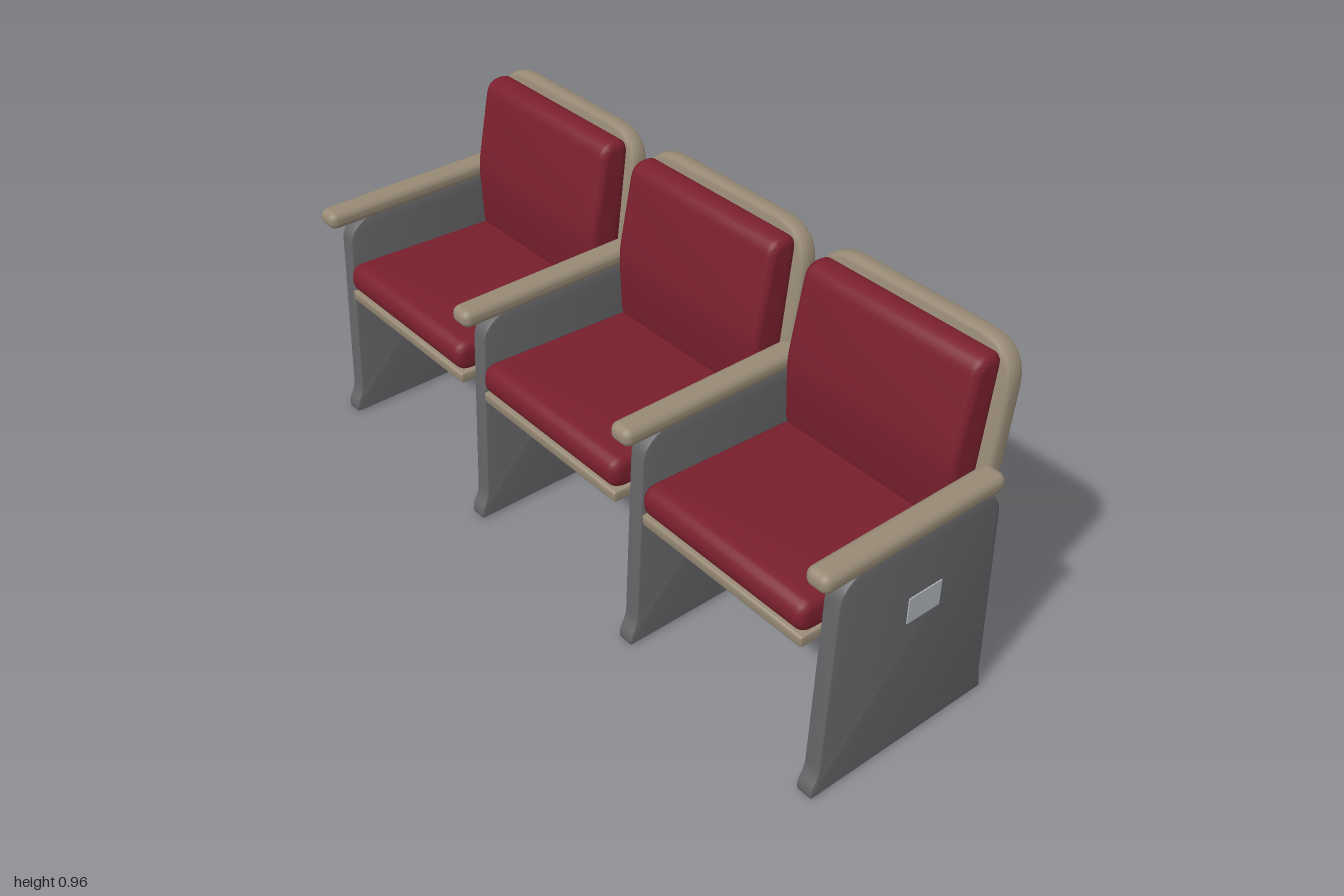
import * as THREE from 'three';
import { toCreasedNormals } from 'three/addons/utils/BufferGeometryUtils.js';
import { RoundedBoxGeometry } from 'three/addons/geometries/RoundedBoxGeometry.js';

const material = (name, color) => {
  const m = new THREE.MeshStandardMaterial({ color });
  m.name = name;
  return m;
};

// Closed outline from [x, y, cornerRadius] points
function roundedShape(points) {
  const shape = new THREE.Shape();
  const n = points.length;
  points.forEach(([x, y, r], i) => {
    const p = new THREE.Vector2(x, y);
    const toward = ([qx, qy]) => {
      const d = new THREE.Vector2(qx, qy).sub(p);
      return d.setLength(Math.min(r, d.length() * 0.49)).add(p);
    };
    const a = toward(points[(i + n - 1) % n]);
    const b = toward(points[(i + 1) % n]);
    if (i === 0) shape.moveTo(a.x, a.y);
    else shape.lineTo(a.x, a.y);
    if (r > 0) shape.quadraticCurveTo(x, y, b.x, b.y);
  });
  shape.closePath();
  return shape;
}

// Bevelled slab, centred on its thickness, that keeps the outline's size
function slab(points, thickness, bevel, bevelSegments = 3) {
  const geometry = new THREE.ExtrudeGeometry(roundedShape(points), {
    depth: thickness - 2 * bevel, bevelEnabled: true, bevelThickness: bevel,
    bevelSize: bevel, bevelOffset: -bevel, bevelSegments, curveSegments: 6,
  });
  geometry.translate(0, 0, bevel - thickness / 2);
  return toCreasedNormals(geometry, 0.7);
}

// Slab whose outline is a side profile of [z, y, radius] points, spanning x
const sideSlab = (points, width, bevel, segments) =>
  slab(points, width, bevel, segments).rotateY(-Math.PI / 2);

export function createModel() {
  const fabric = material('red fabric', 0x7a202d);
  const wood = material('tan wood', 0x978975);
  const metal = material('grey metal', 0x646467);
  const label = material('pale plate', 0xb0b5b8);

  const model = new THREE.Group();
  model.name = 'seatRow';
  const add = (parent, name, geometry, mat, x = 0, y = 0, z = 0) => {
    const mesh = new THREE.Mesh(geometry, mat);
    mesh.name = name;
    mesh.position.set(x, y, z);
    parent.add(mesh);
    return mesh;
  };

  // Shared part shapes
  const standard = sideSlab([
    [0.306, 0, 0.005], [0.306, 0.028, 0.015], [0.286, 0.062, 0.02], [0.266, 0.59, 0.03],
    [0.22, 0.63, 0.03], [-0.195, 0.63, 0.03], [-0.235, 0.59, 0.03],
    [-0.255, 0.06, 0.01], [-0.265, 0, 0.005],
  ], 0.05, 0.007, 2);
  const armrest = new RoundedBoxGeometry(0.07, 0.05, 0.562, 3, 0.022);
  const backPanel = slab([
    [-0.3, 0, 0.012], [0.3, 0, 0.012], [0.3, 0.9, 0.11], [-0.3, 0.9, 0.11],
  ], 0.05, 0.014);
  const backCushion = sideSlab([
    [-0.155, 0.49, 0.03], [-0.225, 0.49, 0.02], [-0.278, 0.94, 0.045],
    [-0.194, 0.94, 0.04], [-0.145, 0.69, 0.04],
  ], 0.54, 0.022, 4);
  const seatCushion = sideSlab([
    [0.3, 0.436, 0.045], [0.3, 0.524, 0.045], [-0.18, 0.505, 0.03], [-0.18, 0.415, 0.03],
  ], 0.54, 0.025, 4);
  const seatPan = sideSlab([
    [0.295, 0.406, 0.008], [0.295, 0.437, 0.008], [-0.195, 0.417, 0.008], [-0.195, 0.385, 0.008],
  ], 0.54, 0.008, 2);

  // Three seats
  for (const x of [-0.64, 0, 0.64]) {
    const seat = new THREE.Group();
    seat.name = 'seat';
    seat.position.x = x;
    model.add(seat);
    add(seat, 'seatPan', seatPan, wood);
    add(seat, 'seatCushion', seatCushion, fabric);
    add(seat, 'backCushion', backCushion, fabric);

    // Reclined back with its small plate
    const back = add(seat, 'backPanel', backPanel, wood, 0, 0.06, -0.195);
    back.rotation.x = -0.117;
    add(back, 'backPlate', new THREE.BoxGeometry(0.06, 0.035, 0.006), label, 0, 0.83, -0.025);
  }

  // Four standards with armrests
  for (const x of [-0.962, -0.32, 0.32, 0.962]) {
    add(model, 'standard', standard, metal, x);
    add(model, 'armrest', armrest, wood, Math.sign(x) * Math.min(Math.abs(x), 0.965), 0.65, 0.045);
  }

  // Plates on the outer ends
  for (const side of [-1, 1]) {
    add(model, 'endPlate', new THREE.BoxGeometry(0.006, 0.073, 0.104), label, side * 0.987, 0.425, -0.006);
  }
  return model;
}
